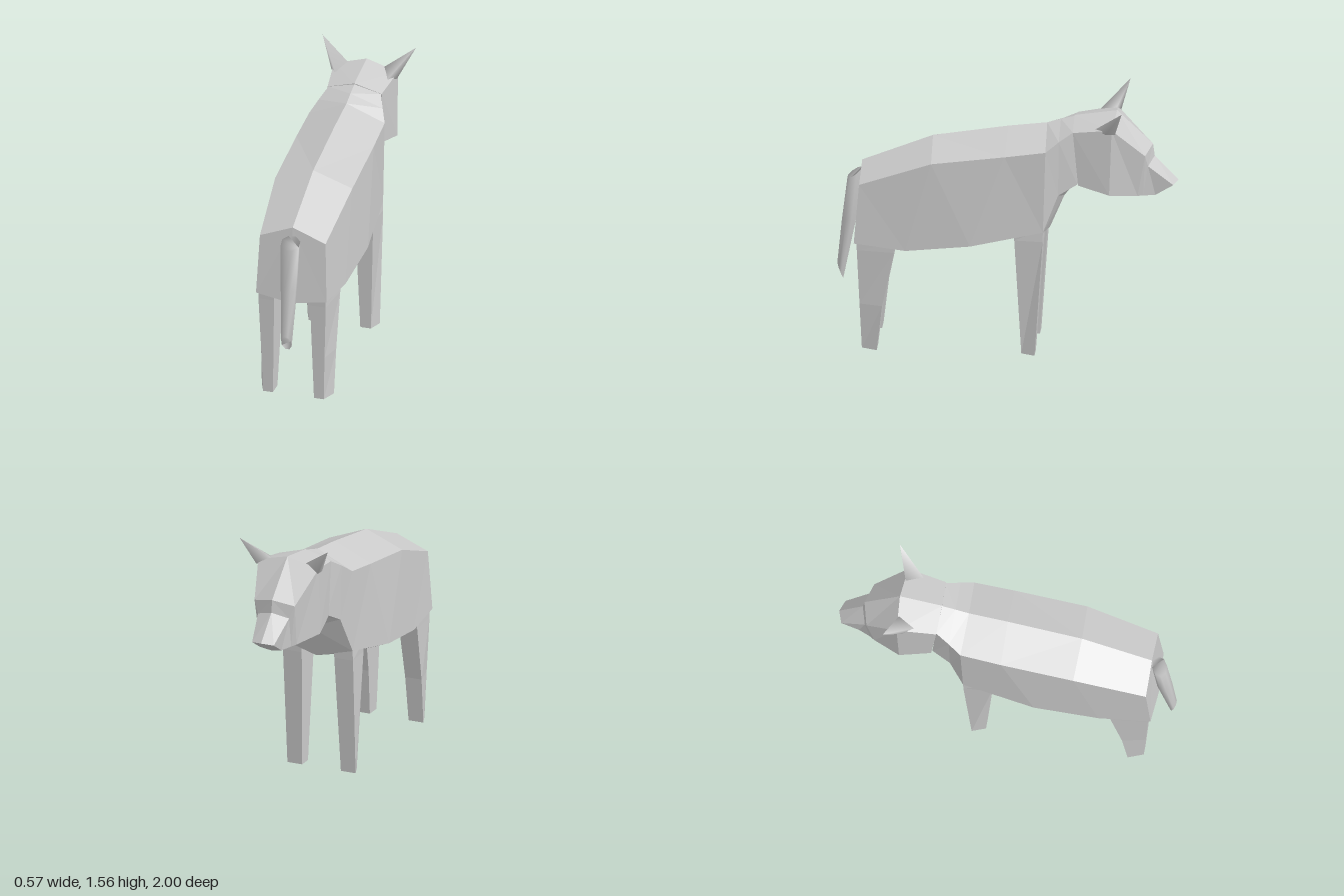
import * as THREE from 'three';
import { mergeVertices } from 'three/addons/utils/BufferGeometryUtils.js';

// Skin a list of closed rings (arrays of [x, y, z]) and cap both ends.
function loft(rings, smooth = false) {
  const pos = [];
  const tri = (a, b, c) => pos.push(...a, ...b, ...c);
  const n = rings[0].length;
  for (let i = 0; i < rings.length - 1; i++) {
    for (let j = 0; j < n; j++) {
      const k = (j + 1) % n;
      const a = rings[i][j], b = rings[i][k], c = rings[i + 1][j], d = rings[i + 1][k];
      if (j < n / 2) { tri(a, b, d); tri(a, d, c); } // mirrored diagonals keep both halves alike
      else { tri(a, b, c); tri(b, d, c); }
    }
  }
  const last = rings[rings.length - 1];
  for (let j = 1; j < n - 1; j++) {
    tri(rings[0][0], rings[0][j + 1], rings[0][j]);
    tri(last[0], last[j], last[j + 1]);
  }
  let geo = new THREE.BufferGeometry();
  geo.setAttribute('position', new THREE.Float32BufferAttribute(pos, 3));
  if (smooth) geo = mergeVertices(geo, 1e-5);
  geo.computeVertexNormals();
  return geo;
}

// Six-sided section: ridge [y, z], upper side [x, y, z], lower side [x, y, z], keel [y, z].
const section = ([ty, tz], up, low, [by, bz]) => [
  [0, ty, tz], up, low, [0, by, bz],
  [-low[0], low[1], low[2]], [-up[0], up[1], up[2]],
];

// Mirror rings across x = 0, keeping the faces outward.
const mirrorRings = (rings) =>
  rings.map((r) => r.map(([x, y, z]) => [-x, y, z]).reverse());

export function createModel() {
  const model = new THREE.Group();
  const flat = new THREE.MeshStandardMaterial({ color: 0xcccccc, flatShading: true });
  const soft = new THREE.MeshStandardMaterial({ color: 0xcccccc });
  const add = (name, geo, mat = flat) => {
    const mesh = new THREE.Mesh(geo, mat);
    mesh.name = name;
    model.add(mesh);
  };
  const addPair = (name, rings, mat = flat) => {
    add(name + 'Left', loft(rings, mat === soft), mat);
    add(name + 'Right', loft(mirrorRings(rings), mat === soft), mat);
  };

  // Body, from rump to neck
  add('body', loft([
    section([1.11, 0.855], [0.2, 1.03, 0.855], [0.215, 0.665, 0.885], [0.635, 0.9]),
    section([1.28, 0.44], [0.235, 1.19, 0.43], [0.24, 0.64, 0.58], [0.59, 0.6]),
    section([1.355, 0], [0.235, 1.25, 0], [0.26, 0.69, 0.2], [0.6, 0.16]),
    section([1.385, -0.23], [0.23, 1.285, -0.24], [0.225, 0.78, -0.225], [0.725, -0.245]),
    section([1.41, -0.31], [0.195, 1.34, -0.315], [0.185, 1.0, -0.31], [0.93, -0.33]),
    section([1.432, -0.39], [0.16, 1.39, -0.395], [0.15, 1.06, -0.42], [1.05, -0.42]),
  ]));

  // Head, from nape over brow and stop to the nose
  add('head', loft([
    section([1.437, -0.39], [0.165, 1.39, -0.395], [0.165, 1.06, -0.425], [1.045, -0.42]),
    section([1.477, -0.64], [0.195, 1.425, -0.625], [0.195, 1.015, -0.61], [0.985, -0.65]),
    section([1.275, -0.85], [0.13, 1.245, -0.815], [0.12, 0.99, -0.77], [0.972, -0.78]),
    section([1.2, -0.86], [0.1, 1.17, -0.83], [0.1, 0.985, -0.8], [0.969, -0.81]),
    section([1.055, -1.0], [0.07, 1.045, -0.975], [0.07, 0.98, -0.87], [0.965, -0.86]),
  ]));

  // Ears: four-sided cones leaning outwards
  const tip = [0.285, 1.565, -0.692];
  const earBase = [[0.11, 1.445, -0.625], [0.15, 1.405, -0.515], [0.2, 1.4, -0.59], [0.198, 1.4, -0.645]];
  addPair('ear', [
    earBase,
    earBase.map((p) => p.map((v, i) => tip[i] + (v - tip[i]) * 0.005)),
  ], soft);

  // Legs: rings at [y, inner x, outer front x, outer back x, front z, back z], top to bottom
  const leg = (levels) => levels.map(([y, xi, xf, xb, zf, zb]) => [
    [xi, y, zf], [xf, y, zf], [xb, y, zb], [xi, y, zb],
  ]);
  addPair('hindLeg', leg([
    [0.68, 0.11, 0.228, 0.205, 0.645, 0.872],
    [0.62, 0.11, 0.228, 0.205, 0.65, 0.868],
    [0.28, 0.118, 0.224, 0.193, 0.718, 0.853],
    [0, 0.125, 0.22, 0.185, 0.75, 0.84],
  ]));
  addPair('foreLeg', leg([
    [0.8, 0.105, 0.222, 0.22, -0.225, -0.052],
    [0.72, 0.105, 0.226, 0.215, -0.223, -0.056],
    [0, 0.125, 0.22, 0.19, -0.175, -0.095],
  ]));

  // Tail: eight-sided rings between a back and a front point, [y, z] each
  const tailRing = (w, [yb, zb], [yf, zf]) => Array.from({ length: 8 }, (_, i) => {
    const a = (i + 0.5) / 8 * Math.PI * 2;
    const s = Math.sin(a) / Math.sin(Math.PI * 3 / 8), c = Math.cos(a) / Math.cos(Math.PI / 8);
    return [w * c, (yb + yf) / 2 + s * (yb - yf) / 2, (zb + zf) / 2 + s * (zb - zf) / 2];
  });
  add('tail', loft([
    tailRing(0.055, [1.0, 0.94], [1.055, 0.86]),
    tailRing(0.045, [0.74, 0.972], [0.74, 0.89]),
    tailRing(0.03, [0.46, 1.0], [0.365, 0.965]),
  ], true), soft);

  return model;
}
